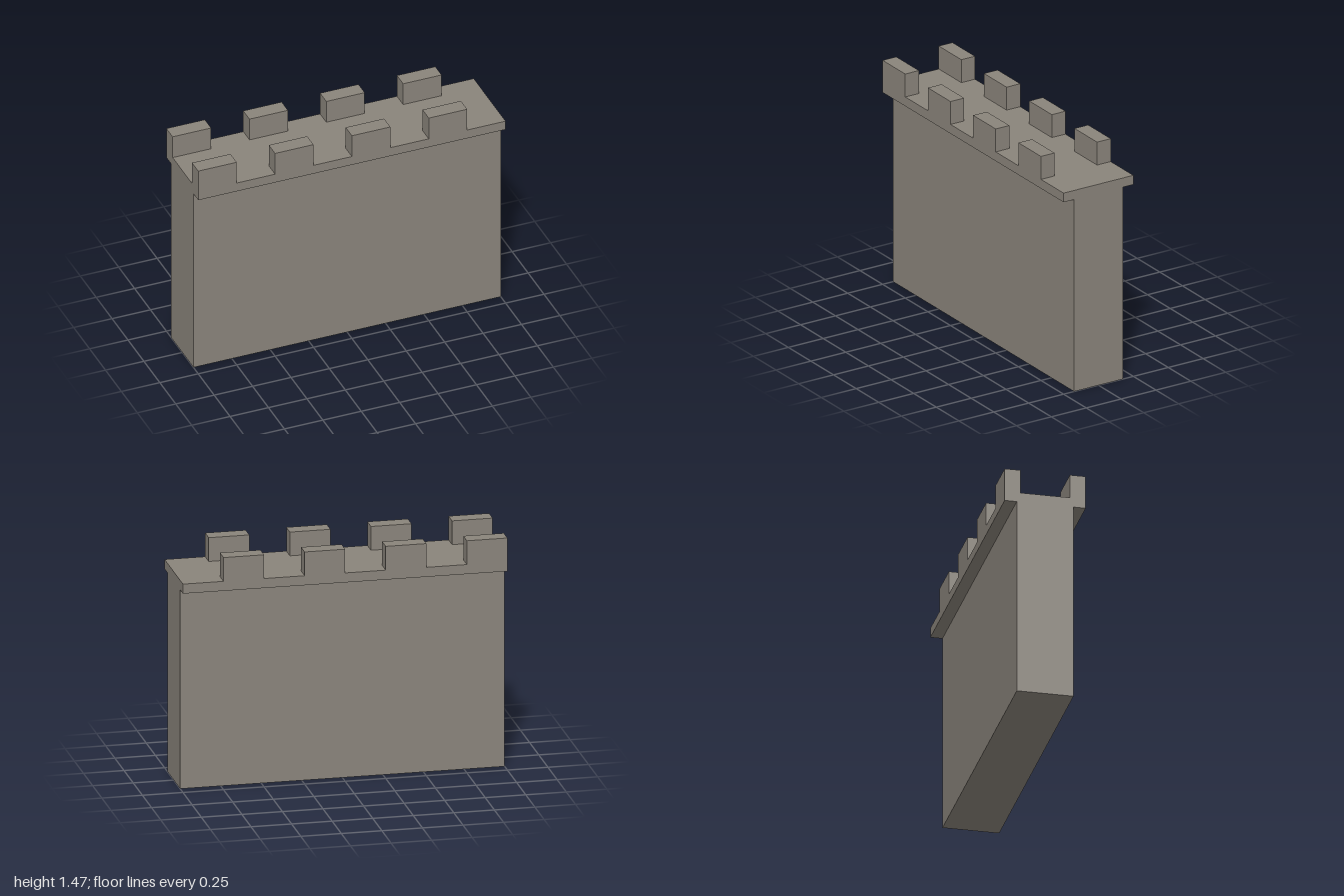
import * as THREE from 'three';

export function createModel() {
  const group = new THREE.Group();
  group.name = 'battlementWall';
  const stone = new THREE.MeshStandardMaterial({ color: 0x8a847b });
  stone.name = 'stone';

  const length = 2, wallHalf = 0.175, walkHalf = 0.25;
  const walkBottom = 1.255, walkTop = 1.315, top = 1.465;

  // Wall and overhanging walkway: one T-shaped section run along x
  const section = new THREE.Shape([
    [-wallHalf, 0], [wallHalf, 0], [wallHalf, walkBottom], [walkHalf, walkBottom],
    [walkHalf, walkTop], [-walkHalf, walkTop], [-walkHalf, walkBottom], [-wallHalf, walkBottom],
  ].map(([x, y]) => new THREE.Vector2(x, y)));
  const wallGeometry = new THREE.ExtrudeGeometry(section, { depth: length, bevelEnabled: false });
  wallGeometry.translate(0, 0, -length / 2).rotateY(Math.PI / 2);
  const wall = new THREE.Mesh(wallGeometry, stone);
  wall.name = 'wall';
  group.add(wall);

  // Merlons along both edges, each followed by an equal gap
  const width = 0.25, depth = 0.098;
  const merlonGeometry = new THREE.BoxGeometry(width, top - walkTop, depth);
  for (const side of [1, -1]) {
    for (let i = 0; i < 4; i++) {
      const merlon = new THREE.Mesh(merlonGeometry, stone);
      merlon.name = `${side > 0 ? 'front' : 'back'}Merlon${i + 1}`;
      merlon.position.set(-length / 2 + width / 2 + i * 2 * width, (top + walkTop) / 2, side * (walkHalf - depth / 2));
      group.add(merlon);
    }
  }
  return group;
}
